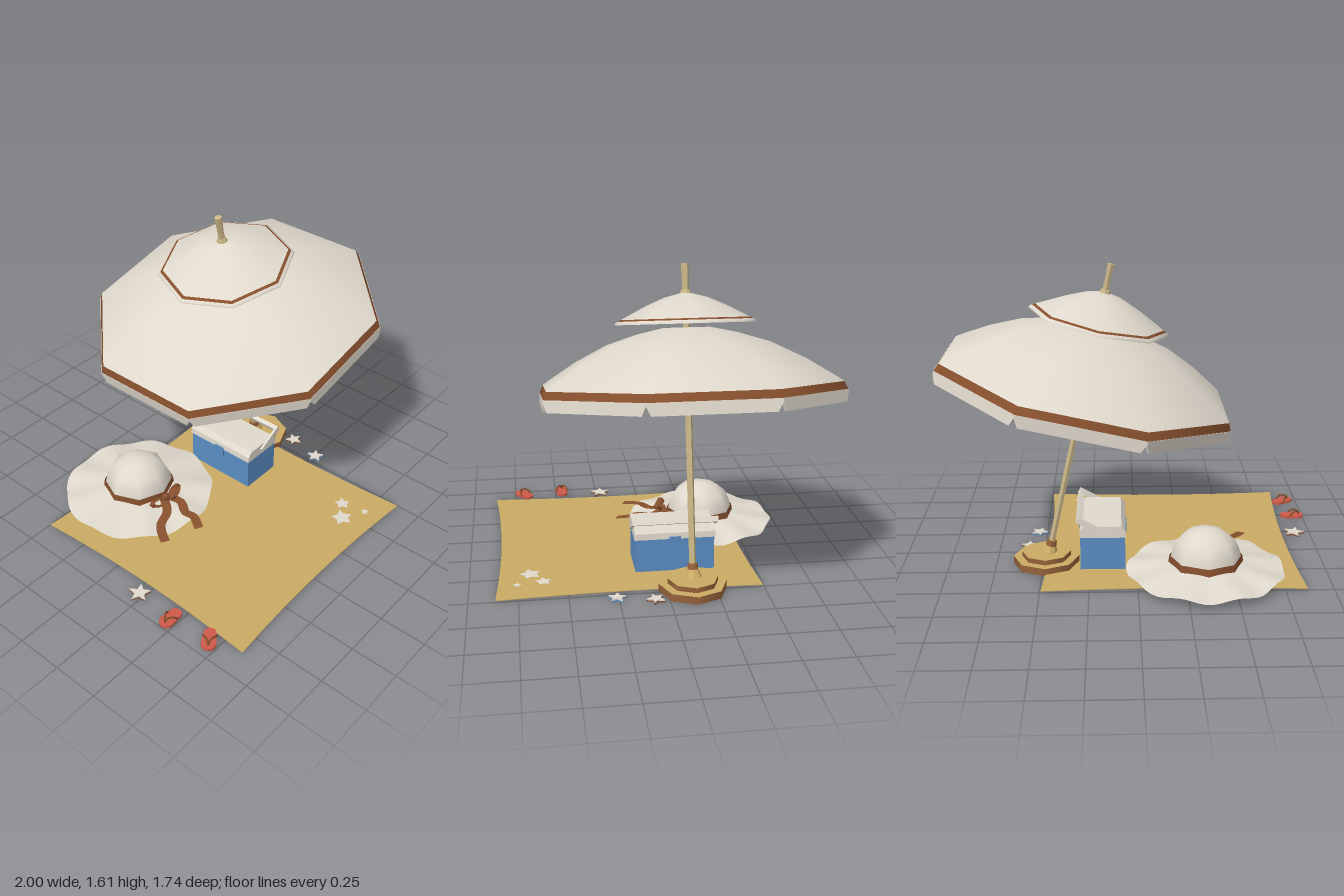
import * as THREE from 'three';

const mat = (name, color, side = THREE.FrontSide) =>
  Object.assign(new THREE.MeshStandardMaterial({ color, side }), { name });

export function createModel() {
  const root = new THREE.Group();
  root.name = 'beachSet';
  const cream = mat('cream', 0xe0d9cd, THREE.DoubleSide);
  const brown = mat('brown', 0x87502e, THREE.DoubleSide);
  const sand = mat('sand', 0xcaab64);
  const wood = mat('wood', 0x96623a);
  const pale = mat('paleWood', 0xcbb788);
  const blue = mat('blue', 0x5a8dc4);
  const coral = mat('coral', 0xce5a48);

  const add = (parent, name, geo, m, x = 0, y = 0, z = 0) => {
    const mesh = new THREE.Mesh(geo, m);
    mesh.name = name;
    mesh.position.set(x, y, z);
    parent.add(mesh);
    return mesh;
  };
  const group = (parent, name, x = 0, y = 0, z = 0) => {
    const g = new THREE.Group();
    g.name = name;
    g.position.set(x, y, z);
    parent.add(g);
    return g;
  };
  const V2 = (p) => new THREE.Vector2(p[0], p[1]);
  const V3 = (p) => new THREE.Vector3(...p);
  const lathe = (pts, phi = 0, k = 1) =>
    new THREE.LatheGeometry(pts.map(([r, y]) => new THREE.Vector2(r * k, y)), 8, phi);
  // Flat shape lying on the ground, shape y pointing to -z
  const plate = (shape, depth) =>
    new THREE.ExtrudeGeometry(shape, { depth, bevelEnabled: false, curveSegments: 8 }).rotateX(-Math.PI / 2);
  const flatten = (g) => {
    const f = g.index ? g.toNonIndexed() : g;
    f.computeVertexNormals();
    return f;
  };
  const cyl = (r1, r2, h, n = 8) => flatten(new THREE.CylinderGeometry(r1, r2, h, n));
  const star = (r, inner = 0.45) => new THREE.Shape(Array.from({ length: 10 }, (_, i) => {
    const a = (i * Math.PI) / 5, q = i % 2 ? r * inner : r;
    return new THREE.Vector2(q * Math.sin(a), q * Math.cos(a));
  }));
  // Flat strip following a path
  const ribbon = (pts, width) => {
    const curve = new THREE.CatmullRomCurve3(pts.map(V3));
    const g = new THREE.PlaneGeometry(1, width, 12, 1), p = g.attributes.position;
    for (let i = 0; i < p.count; i++) {
      const u = p.getX(i) + 0.5, t = curve.getTangent(u);
      const v = curve.getPoint(u).addScaledVector(new THREE.Vector3(t.z, 0, -t.x).normalize(), p.getY(i));
      p.setXYZ(i, v.x, v.y, v.z);
    }
    g.computeVertexNormals();
    return g;
  };

  // Umbrella foot
  const foot = group(root, 'umbrellaBase', 0.483, 0, -0.132);
  const tiers = [wood, sand, wood];
  const tier = (r, h) => {
    const g = new THREE.CylinderGeometry(r, r, h, 8);
    return g;
  };
  add(foot, 'lowerTier', tier(0.176, 0.04), tiers, 0, 0.02);
  add(foot, 'upperTier', tier(0.13, 0.027), tiers, 0, 0.053);

  // Tilted umbrella
  const umb = group(root, 'umbrella', 0.48, 0, -0.135);
  umb.rotation.z = 0.2164;
  add(umb, 'hub', cyl(0.025, 0.048, 0.045), sand, 0, 0.085);
  add(umb, 'collar', cyl(0.026, 0.028, 0.03), wood, 0, 0.118);
  add(umb, 'pole', cyl(0.0175, 0.0175, 1.45, 6), pale, 0, 0.82);
  add(umb, 'finial', cyl(0.02, 0.016, 0.108, 6), pale, 0, 1.594);
  add(umb, 'finialRing', cyl(0.022, 0.03, 0.02), pale, 0, 1.508);

  // Canopy, sizes given across the flats
  const k = 1 / Math.cos(Math.PI / 8), ph = Math.PI / 8;
  add(umb, 'canopy', lathe([[0.719, 1.05], [0.685, 1.075], [0.55, 1.165], [0.39, 1.25],
    [0.24, 1.3], [0.11, 1.33]], ph, k), cream);
  add(umb, 'canopyStripe', lathe([[0.735, 1.012], [0.719, 1.05]], ph, k), brown);
  const flap = new THREE.Shape([[-0.305, 1.012], [-0.305, 0.995], [-0.282, 0.952],
    [0.282, 0.952], [0.305, 0.995], [0.305, 1.012]].map(V2));
  const flapGeo = new THREE.ExtrudeGeometry(flap, { depth: 0.012, bevelEnabled: false }).translate(0, 0, 0.725);
  for (let i = 0; i < 8; i++) add(umb, 'valance', flapGeo, cream).rotation.y = (i * Math.PI) / 4;

  // Upper vent cap
  add(umb, 'ventRim', lathe([[0.36, 1.349], [0.358, 1.358], [0.345, 1.366]]), cream);
  add(umb, 'ventStripe', lathe([[0.345, 1.366], [0.33, 1.374]]), brown);
  add(umb, 'ventCap', lathe([[0.33, 1.374], [0.27, 1.405], [0.2, 1.441], [0.11, 1.479], [0, 1.507]]), cream);
  add(umb, 'ventUnderside', new THREE.CircleGeometry(0.358, 8).rotateX(Math.PI / 2), brown, 0, 1.35);

  // Blanket with slightly hollow edges
  const c = 0.68, cloth = new THREE.Shape();
  cloth.moveTo(-c, -c);
  cloth.quadraticCurveTo(0, -c + 0.06, c, -c);
  cloth.quadraticCurveTo(c - 0.05, 0, c, c);
  cloth.quadraticCurveTo(0, c - 0.05, -c, c);
  cloth.quadraticCurveTo(-c + 0.06, 0, -c, -c);
  const blanket = group(root, 'blanket', -0.185, 0.003, 0.185);
  add(blanket, 'cloth', plate(cloth, 0.004), sand);
  for (const s of [1, -1])
    for (const [x, z, r] of [[0.4, 0.5, 0.06], [0.495, 0.435, 0.045], [0.52, 0.57, 0.024]])
      add(blanket, 'printedStar', plate(star(r, 0.55), 0.007), cream, s * x, -0.0015, s * z).rotation.y = r * 9;

  // Sun hat
  const hat = group(root, 'sunHat', -0.357, 0, -0.31);
  add(hat, 'crown', lathe([[0.19, 0.08], [0.182, 0.115], [0.172, 0.155], [0.15, 0.2],
    [0.1, 0.242], [0.045, 0.26], [0, 0.265]]), cream);
  add(hat, 'hatBand', lathe([[0.196, 0.078], [0.19, 0.116]]), brown);
  const brim = new THREE.RingGeometry(0.17, 0.41, 72, 4).rotateX(-Math.PI / 2);
  const bp = brim.attributes.position;
  for (let i = 0; i < bp.count; i++) {
    const x = bp.getX(i), z = bp.getZ(i), a = Math.atan2(z, x);
    const t = (Math.hypot(x, z) - 0.17) / 0.24, s = 1 + 0.015 * t * Math.cos(9 * a);
    bp.setXYZ(i, x * s, 0.083 - 0.04 * t + 0.01 * t * Math.sin(9 * a), z * s);
  }
  brim.computeVertexNormals();
  add(hat, 'brim', brim, cream);

  // Bow and trailing ribbons
  const bow = group(hat, 'bow', -0.01, 0.1, 0.215);
  add(bow, 'knot', flatten(new THREE.SphereGeometry(0.026, 6, 4)), brown);
  for (const s of [-1, 1]) {
    const loop = add(bow, 'bowLoop', flatten(new THREE.TorusGeometry(0.04, 0.014, 4, 8)), brown, s * 0.06, 0.008, 0.01);
    loop.scale.set(1.15, 0.5, 1.5);
    loop.rotation.set(-0.5, s * 0.3, s * 0.25);
  }
  add(hat, 'ribbonTail', ribbon([[-0.02, 0.1, 0.21], [-0.08, 0.085, 0.29], [-0.16, 0.075, 0.32],
    [-0.2, 0.068, 0.36], [-0.235, 0.06, 0.42]], 0.05), brown);
  add(hat, 'ribbonTail', ribbon([[0, 0.1, 0.21], [0.03, 0.085, 0.29], [-0.01, 0.075, 0.36],
    [0, 0.068, 0.41], [-0.035, 0.05, 0.48]], 0.05), brown);

  // Cooler box
  const cooler = group(root, 'cooler', 0.18, 0, -0.068);
  add(cooler, 'coolerBody', new THREE.BoxGeometry(0.235, 0.185, 0.415), blue, 0, 0.115);
  const lid = new THREE.Shape([[-0.122, 0.202], [0.122, 0.202], [0.12, 0.235], [0.098, 0.264],
    [-0.098, 0.264], [-0.12, 0.235]].map(V2));
  add(cooler, 'coolerLid', new THREE.ExtrudeGeometry(lid, { depth: 0.425, bevelEnabled: false }), cream, 0, 0, -0.2125);
  for (const s of [-1, 1])
    add(cooler, 'latch', new THREE.BoxGeometry(0.012, 0.06, 0.06), blue, s * 0.121, 0.185);
  const handle = group(cooler, 'coolerHandle', 0, 0.235, 0);
  handle.rotation.z = 0.5;
  for (const s of [-1, 1])
    add(handle, 'handleArm', new THREE.BoxGeometry(0.165, 0.03, 0.014), cream, 0.067, 0, s * 0.218);
  add(handle, 'handleGrip', new THREE.BoxGeometry(0.024, 0.03, 0.45), cream, 0.138, 0, 0);

  // Flip-flops, toes toward -x
  const sole = new THREE.Shape();
  sole.moveTo(-0.03, -0.038);
  sole.bezierCurveTo(-0.08, -0.036, -0.08, 0.036, -0.03, 0.038);
  sole.bezierCurveTo(0, 0.037, 0.01, 0.032, 0.035, 0.033);
  sole.bezierCurveTo(0.078, 0.03, 0.078, -0.03, 0.035, -0.033);
  sole.bezierCurveTo(0.01, -0.032, 0, -0.037, -0.03, -0.038);
  for (const [x, z, turn] of [[-0.935, 0.462, 0], [-0.912, 0.695, 0.6]]) {
    const shoe = group(root, 'flipFlop', x, 0.008, z);
    shoe.rotation.y = turn;
    add(shoe, 'sole', plate(sole, 0.014), coral);
    for (const s of [-1, 1]) {
      const path = new THREE.CatmullRomCurve3([[-0.042, 0.012, 0], [-0.032, 0.034, s * 0.006],
        [-0.008, 0.036, s * 0.024], [0.018, 0.012, s * 0.034]].map(V3));
      add(shoe, 'strap', new THREE.TubeGeometry(path, 8, 0.005, 5), brown);
    }
  }

  // Starfish
  for (const [x, z, r, under, turn] of [[-0.91, 0.225, 0.06, brown, 0.3],
    [0.545, 0.26, 0.05, blue, 0.2], [0.585, 0.07, 0.05, brown, 0.7]]) {
    const fish = group(root, 'starfish', x, 0, z);
    fish.rotation.y = turn;
    add(fish, 'starfishUnderside', plate(star(r), 0.007), under);
    add(fish, 'starfishTop', plate(star(r * 0.96), 0.009), cream, 0, 0.006);
  }
  return root;
}
